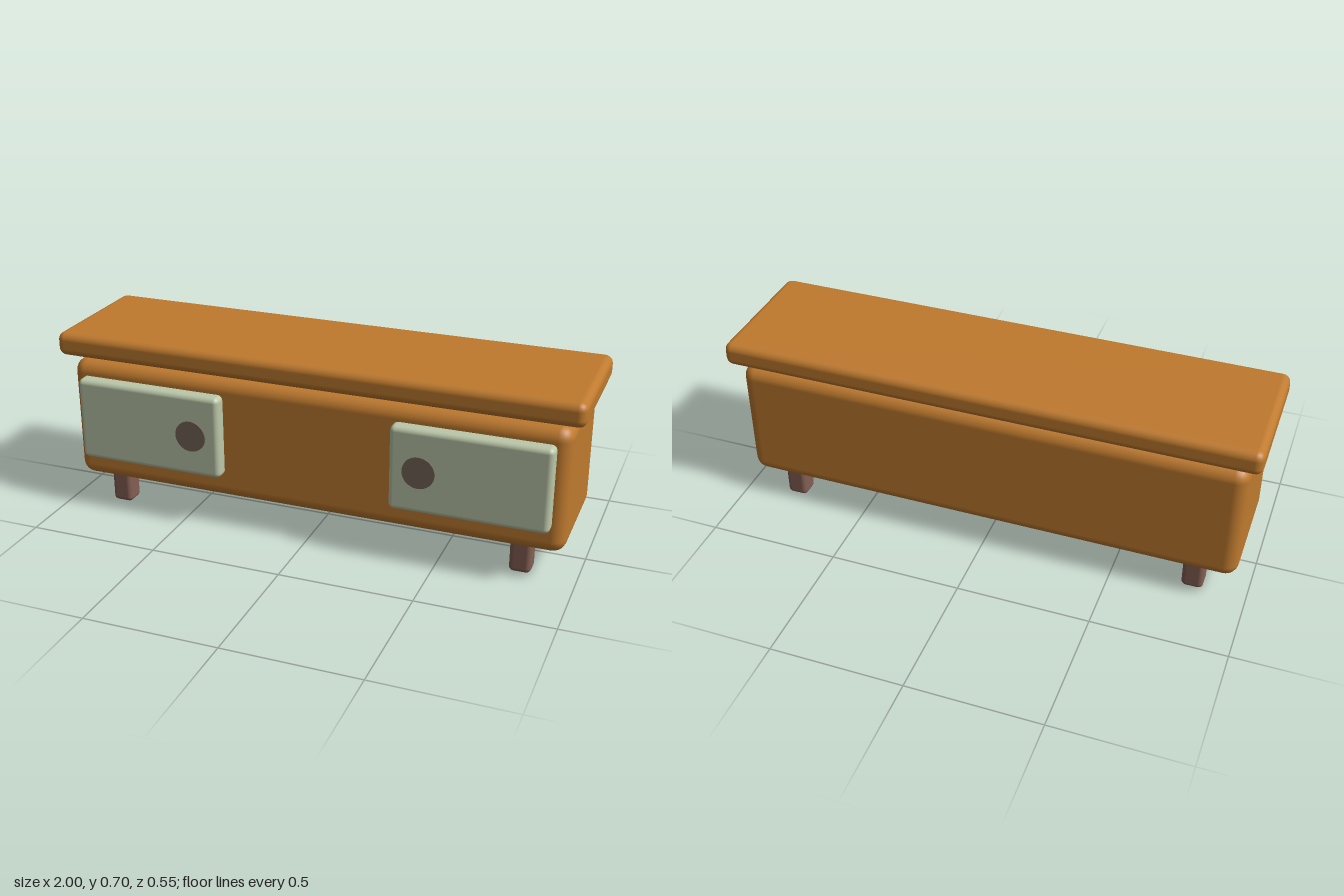
import * as THREE from 'three';
import { RoundedBoxGeometry } from 'three/addons/geometries/RoundedBoxGeometry.js';

const material = (name, color) => {
  const m = new THREE.MeshStandardMaterial({ color });
  m.name = name;
  return m;
};

export function createModel() {
  const wood = material('warm wood', 0xbf7a2e);
  const sage = material('sage paint', 0xbcc8aa);
  const darkWood = material('dark leg wood', 0x835f53);
  const knobBrown = material('knob brown', 0x74655a);

  const model = new THREE.Group();
  model.name = 'lowCabinet';

  // Rounded block given by its min and max corners
  const block = (name, mat, [x0, y0, z0], [x1, y1, z1], radius, segments = 3) => {
    const geo = new RoundedBoxGeometry(x1 - x0, y1 - y0, z1 - z0, segments, radius);
    const mesh = new THREE.Mesh(geo, mat);
    mesh.name = name;
    mesh.position.set((x0 + x1) / 2, (y0 + y1) / 2, (z0 + z1) / 2);
    model.add(mesh);
  };

  // Carcass and the top board floating just above it
  block('body', wood, [-0.958, 0.113, -0.248], [0.955, 0.59, 0.223], 0.05);
  block('topBoard', wood, [-1, 0.609, -0.275], [0.998, 0.7, 0.25], 0.03);

  for (const [side, s] of [['right', -1], ['left', 1]]) {
    // Door panel with a flat round knob near its inner edge
    const doorX = s * 0.618 - 0.002;
    block(`${side}Door`, sage, [doorX - 0.29, 0.212, 0.19], [doorX + 0.29, 0.533, 0.27], 0.02);

    const knob = new THREE.Mesh(new THREE.CylinderGeometry(0.06, 0.06, 0.02, 32), knobBrown);
    knob.name = `${side}Knob`;
    knob.rotation.x = Math.PI / 2;
    knob.position.set(s * 0.44 - 0.002, 0.373, 0.2665);
    model.add(knob);

    // Front and back legs
    const legX = s * 0.798 - 0.002;
    for (const [end, z] of [['Front', 0.146], ['Back', -0.17]]) {
      block(`${side}${end}Leg`, darkWood, [legX - 0.04, 0, z - 0.04], [legX + 0.04, 0.15, z + 0.04], 0.018);
    }
  }
  return model;
}
